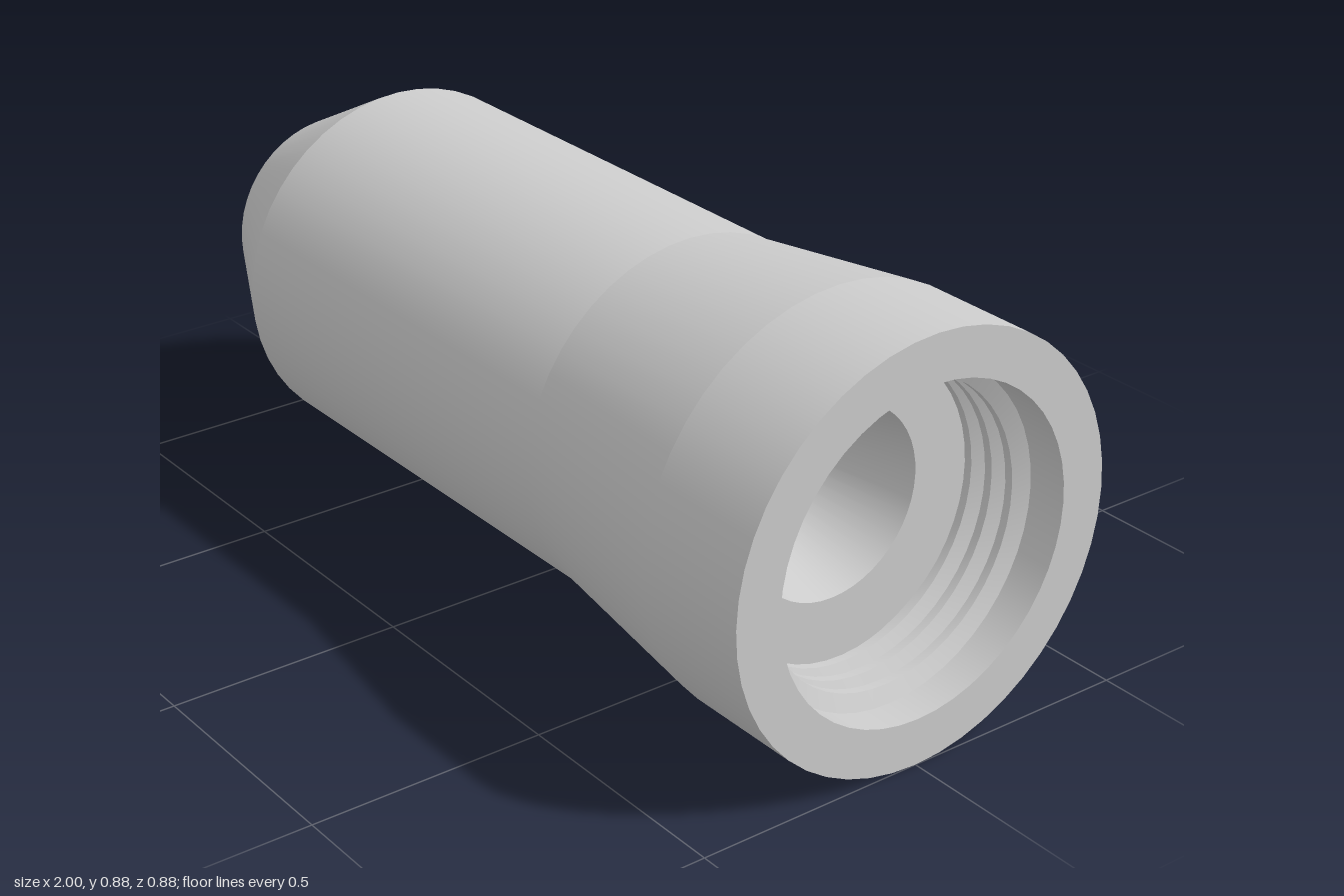
import * as THREE from 'three';

const SIDES = 48;
const THREAD = { root: 0.342, crest: 0.308, pitch: 0.055, start: 0.925, turns: 3, phase: 0.66 };

// Helical ridge, left-handed, fading in and out at its ends
function threadGeometry() {
  const { root, crest, pitch, start, turns, phase } = THREAD;
  const section = [[0.025, 0], [0.009, 1], [-0.009, 1], [-0.025, 0]]; // axial offset, height
  const steps = SIDES * turns;
  const fade = 0.07 * SIDES;
  const positions = [], index = [];
  for (let s = 0; s < 3; s++) {
    const base = positions.length / 3;
    for (let i = 0; i <= steps; i++) {
      const a = phase + (i / SIDES) * Math.PI * 2;
      const h = Math.min(1, i / fade, (steps - i) / fade);
      for (const [dx, up] of [section[s], section[s + 1]]) {
        const r = root - (root - crest) * up * h;
        positions.push(start - (pitch * i) / SIDES + dx * h, r * Math.cos(a), r * Math.sin(a));
      }
      if (i < steps) {
        const p = base + i * 2;
        index.push(p, p + 2, p + 1, p + 1, p + 2, p + 3);
      }
    }
  }
  const g = new THREE.BufferGeometry();
  g.setAttribute('position', new THREE.Float32BufferAttribute(positions, 3));
  g.setIndex(index);
  g.computeVertexNormals();
  return g;
}

export function createModel() {
  const model = new THREE.Group();
  model.name = 'nozzle';
  const material = new THREE.MeshStandardMaterial({ color: 0xcccccc });

  // Closed contour along the axis: [name of the surface starting here, x, radius]
  const contour = [
    ['tipCone', -1, 0.235],
    ['barrel', -0.7, 0.385],
    ['flare', 0.31, 0.385],
    ['collar', 0.74, 0.44],
    ['collarFace', 1, 0.44],
    ['socketWall', 1, 0.341],
    ['socketFloor', 0.75, 0.341],
    ['inletCone', 0.75, 0.2],
    ['outletCone', 0.3, 0.08],
    ['tipFace', -1, 0.138],
  ];

  // Each surface is its own lathe, so edges between them stay sharp
  contour.forEach(([name, x, r], i) => {
    const [, x2, r2] = contour[(i + 1) % contour.length];
    const g = new THREE.LatheGeometry([new THREE.Vector2(r, x), new THREE.Vector2(r2, x2)], SIDES);
    g.rotateZ(-Math.PI / 2);
    const mesh = new THREE.Mesh(g, material);
    mesh.name = name;
    model.add(mesh);
  });

  const thread = new THREE.Mesh(threadGeometry(), material);
  thread.name = 'socketThread';
  model.add(thread);

  model.children.forEach((part) => { part.position.y = 0.44; });
  return model;
}
